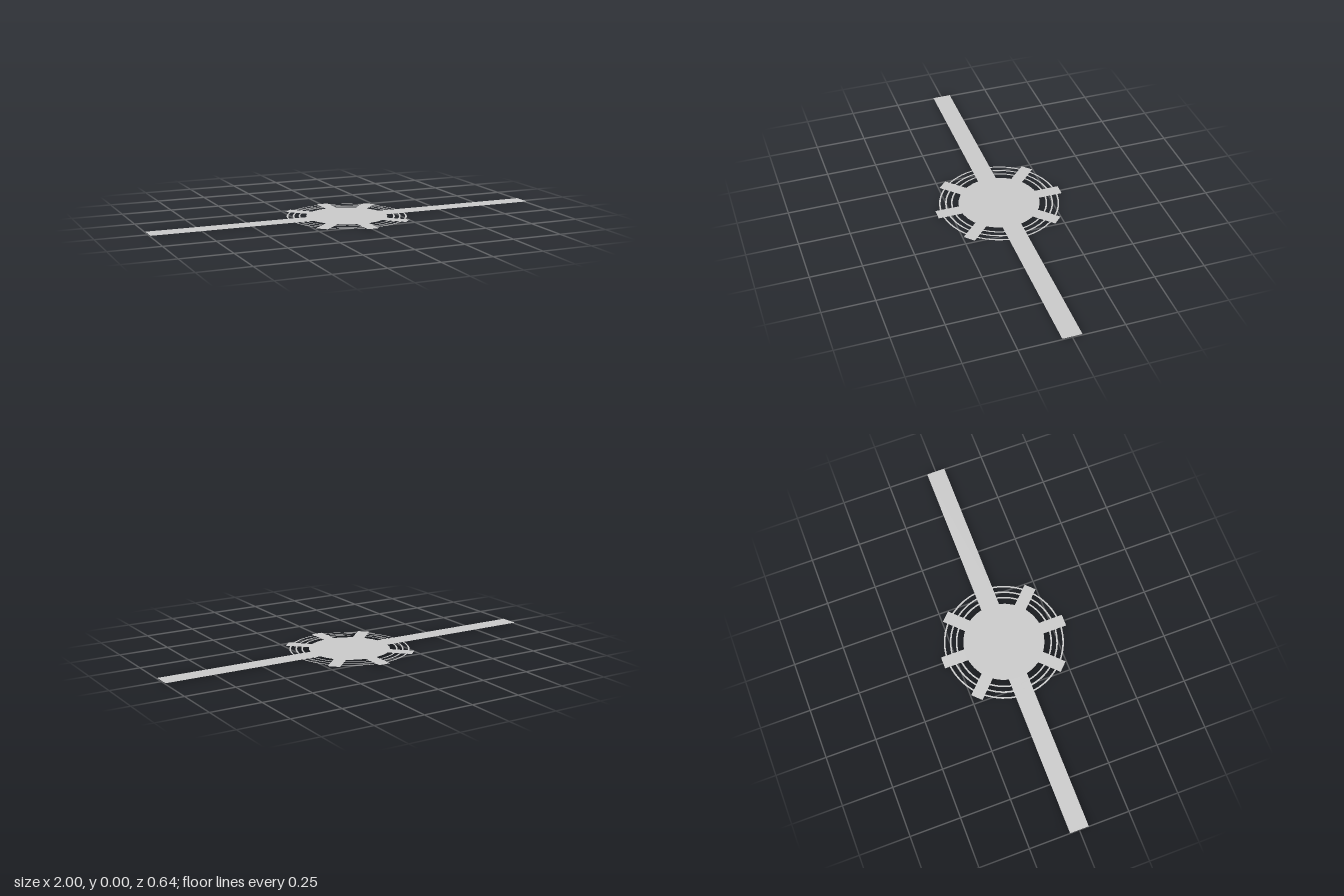
import * as THREE from 'three';

const TOP = 0.005; // height of the flat sheet
const material = new THREE.MeshStandardMaterial({ color: 0xcccccc, side: THREE.DoubleSide, flatShading: true });

function add(parent, name, geometry) {
  const mesh = new THREE.Mesh(geometry, material);
  mesh.name = name;
  parent.add(mesh);
  return mesh;
}

// Turns geometry drawn in the xy plane into an upward-facing sheet
function flat(geometry) {
  return geometry.rotateX(-Math.PI / 2).translate(0, TOP, 0);
}

// Flat strip running outward along +x
function strip(inner, outer, width) {
  return flat(new THREE.PlaneGeometry(outer - inner, width).translate((inner + outer) / 2, 0, 0));
}

// Shallow V-shaped ridge hanging under a spoke, running along +x
function ridgeGeometry() {
  const v = new THREE.Shape([
    new THREE.Vector2(-0.004, TOP),
    new THREE.Vector2(0, 0),
    new THREE.Vector2(0.004, TOP),
  ]);
  return new THREE.ExtrudeGeometry(v, { depth: 0.036, bevelEnabled: false })
    .rotateY(Math.PI / 2).translate(0.233, 0, 0);
}

export function createModel() {
  const model = new THREE.Group();
  model.name = 'spokedDisc';

  // Central disc
  add(model, 'hubDisc', flat(new THREE.CircleGeometry(0.2, 32)));

  // Thin concentric rings
  for (const radius of [0.233, 0.262, 0.292]) {
    add(model, 'ring', flat(new THREE.RingGeometry(radius - 0.004, radius + 0.004, 48)));
  }

  // Eight directions: two long arms along x, six short spokes elsewhere
  for (let i = 0; i < 8; i++) {
    const sector = new THREE.Group();
    const isArm = i % 4 === 0;
    sector.name = isArm ? 'armSector' : 'spokeSector';
    sector.rotation.y = i * Math.PI / 4;
    if (isArm) add(sector, 'longArm', strip(0.19, 1, 0.094));
    else add(sector, 'shortSpoke', strip(0.18, 0.318, 0.06));
    add(sector, 'ridge', ridgeGeometry());
    model.add(sector);
  }

  return model;
}
